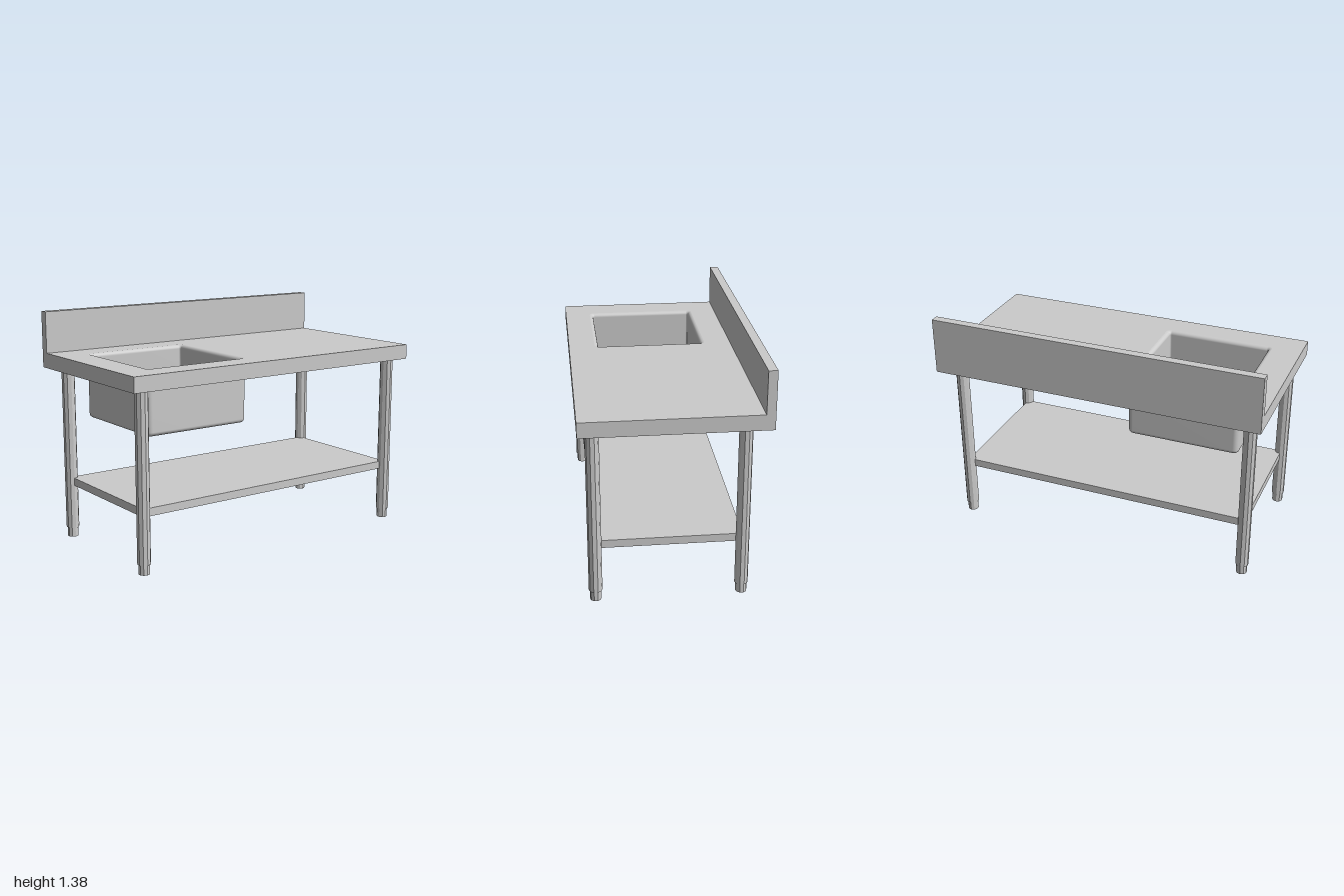
import * as THREE from 'three';

const TOP = 1.13, UNDER = 1.04;           // worktop surface and underside heights
const SINK_X = -0.483, SINK_Z = 0.026;    // sink centre
const material = new THREE.MeshStandardMaterial({ color: 0xcccccc });
const flatMaterial = new THREE.MeshStandardMaterial({ color: 0xcccccc, flatShading: true });

function add(parent, name, geometry, x = 0, y = 0, z = 0, mat = material) {
  const mesh = new THREE.Mesh(geometry, mat);
  mesh.name = name;
  mesh.position.set(x, y, z);
  parent.add(mesh);
  return mesh;
}

// Box given by its limits on each axis
function box(parent, name, [x0, x1], [y0, y1], [z0, z1]) {
  return add(parent, name, new THREE.BoxGeometry(x1 - x0, y1 - y0, z1 - z0),
    (x0 + x1) / 2, (y0 + y1) / 2, (z0 + z1) / 2);
}

// Rounded rectangle as [x, z] points, slightly longer in z
function ringPoints(half, r, steps = 5) {
  const points = [];
  const hz = half > 0 ? half + 0.004 : 0;
  for (let q = 0; q < 4; q++) {
    const sx = q === 0 || q === 3 ? 1 : -1, sz = q < 2 ? 1 : -1;
    for (let i = 0; i <= steps; i++) {
      const a = (q + i / steps) * Math.PI / 2;
      points.push([sx * (half - r) + r * Math.cos(a), sz * (hz - r) + r * Math.sin(a)]);
    }
  }
  return points;
}

// Skin over a list of [half size, height, corner radius] cross-sections
function loft(profile) {
  const positions = [], index = [];
  const n = ringPoints(1, 0.1).length;
  profile.forEach(([half, y, r], j) => {
    ringPoints(half, r).forEach(([x, z]) => positions.push(x, y, z));
    if (j === 0) return;
    for (let i = 0; i < n; i++) {
      const k = (i + 1) % n, a = (j - 1) * n, b = j * n;
      index.push(a + i, a + k, b + i, a + k, b + k, b + i);
    }
  });
  const geometry = new THREE.BufferGeometry();
  geometry.setAttribute('position', new THREE.Float32BufferAttribute(positions, 3));
  geometry.setIndex(index);
  geometry.computeVertexNormals();
  return geometry;
}

// Quarter-round cross-sections: f receives 1 - cos and 1 - sin of the sweep
function fillet(f, steps = 5) {
  return Array.from({ length: steps + 1 }, (_, i) => {
    const t = i / steps * Math.PI / 2;
    return f(1 - Math.cos(t), 1 - Math.sin(t));
  });
}

export function createModel() {
  const group = new THREE.Group();
  group.name = 'sinkTable';

  // Worktop with the sink opening
  const slab = new THREE.Shape([[-1, -0.527], [1, -0.527], [1, 0.527], [-1, 0.527]]
    .map(([x, y]) => new THREE.Vector2(x, y)));
  slab.holes.push(new THREE.Path(ringPoints(0.339, 0.033)
    .map(([x, z]) => new THREE.Vector2(SINK_X + x, -SINK_Z - z))));
  const slabGeometry = new THREE.ExtrudeGeometry(slab, { depth: TOP - UNDER, bevelEnabled: false });
  slabGeometry.rotateX(-Math.PI / 2);
  add(group, 'worktop', slabGeometry, 0, UNDER, 0);

  box(group, 'backsplash', [-1, 1], [TOP, 1.378], [-0.527, -0.475]);

  // Sink: inside runs from floor to rolled rim, outside from worktop to base
  const sink = new THREE.Group();
  sink.name = 'sink';
  sink.position.set(SINK_X, 0, SINK_Z);
  group.add(sink);
  const rim = 0.023, bend = 0.025;
  add(sink, 'basinInside', loft([
    [0, 0.772, 0],
    ...fillet((c, s) => [0.316 - bend * s, 0.772 + bend * c, 0.012 - 0.01 * s]),
    ...fillet((c, s) => [0.316 + rim * c, TOP - rim * s, 0.01 + rim * c]),
  ]));
  add(sink, 'basinOutside', loft([
    [0.339, UNDER, 0.033],
    ...fillet((c, s) => [0.339 - bend * c, 0.748 + bend * s, 0.033 - bend * c]),
    [0, 0.748, 0],
  ]));

  // Lower shelf, its corners running into the legs
  box(group, 'shelf', [-0.908, 0.908], [0.325, 0.372], [-0.388, 0.445]);

  // Legs with narrower feet
  for (const x of [-0.908, 0.908]) {
    for (const z of [-0.388, 0.445]) {
      const leg = new THREE.Group();
      leg.name = (z > 0 ? 'front' : 'back') + (x > 0 ? 'Left' : 'Right') + 'Leg';
      leg.position.set(x, 0, z);
      group.add(leg);
      add(leg, 'post', new THREE.CylinderGeometry(0.039, 0.039, UNDER - 0.058, 10),
        0, (UNDER + 0.058) / 2, 0, flatMaterial);
      add(leg, 'foot', new THREE.CylinderGeometry(0.033, 0.033, 0.058, 10),
        0, 0.029, 0, flatMaterial);
    }
  }
  return group;
}
